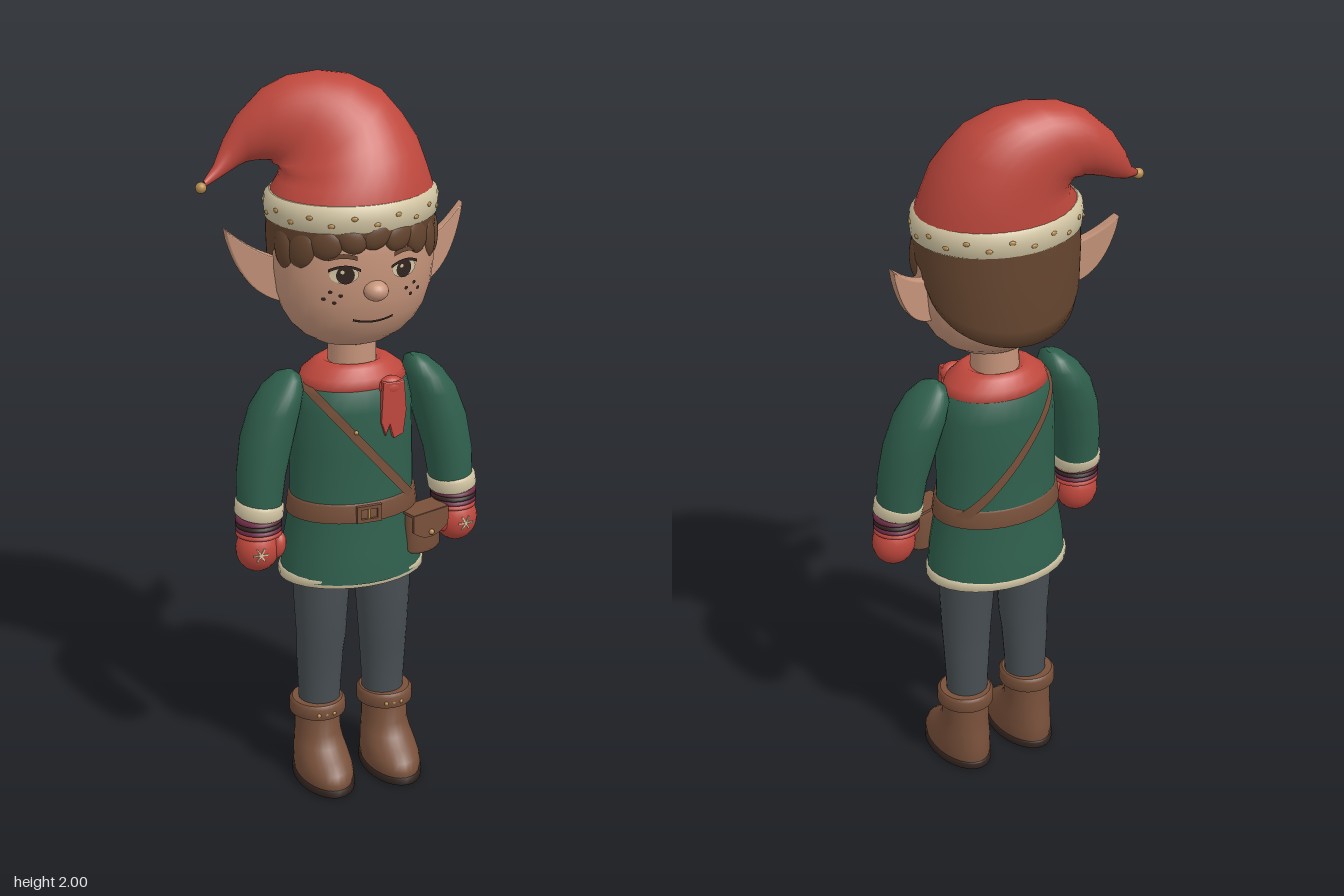
import * as THREE from 'three';

const mat = (name, color, side = THREE.FrontSide) => {
  const m = new THREE.MeshStandardMaterial({ color, side });
  m.name = name;
  return m;
};

// Linear lookup in a [y, radius] profile
const lookup = (p, y) => {
  for (let i = 1; i < p.length; i++) {
    if (y <= p[i][0]) {
      const t = (y - p[i - 1][0]) / (p[i][0] - p[i - 1][0]);
      return p[i - 1][1] + t * (p[i][1] - p[i - 1][1]);
    }
  }
  return p[p.length - 1][1];
};

// Skin over elliptical rings [x, y, z, rx, rz, tilt in degrees], listed from bottom to top
function loft(rings, seg = 28) {
  const pos = [], idx = [], n = rings.length;
  const addRing = ([x, y, z, rx, rz, tilt = 0]) => {
    const t = tilt * Math.PI / 180;
    for (let j = 0; j < seg; j++) {
      const a = j / seg * Math.PI * 2, u = rx * Math.cos(a);
      pos.push(x + u * Math.cos(t), y + u * Math.sin(t), z + rz * Math.sin(a));
    }
  };
  rings.forEach(addRing);
  for (let i = 0; i < n - 1; i++) for (let j = 0; j < seg; j++) {
    const a = i * seg + j, b = i * seg + (j + 1) % seg;
    idx.push(a, a + seg, b, b, a + seg, b + seg);
  }
  [rings[0], rings[n - 1]].forEach((r, top) => {
    const s = pos.length / 3;
    addRing(r);
    pos.push(r[0], r[1], r[2]);
    for (let j = 0; j < seg; j++) {
      const a = s + j, b = s + (j + 1) % seg;
      idx.push(s + seg, top ? b : a, top ? a : b);
    }
  });
  const g = new THREE.BufferGeometry();
  g.setAttribute('position', new THREE.Float32BufferAttribute(pos, 3));
  g.setIndex(idx);
  g.computeVertexNormals();
  return g;
}

export function createModel() {
  const D = THREE.DoubleSide;
  const red = mat('red wool', 0xbf483d), green = mat('green cloth', 0x2f5f4d), skin = mat('skin', 0xc6947a);
  const hair = mat('brown hair', 0x65452f, D), leather = mat('leather', 0x78503a, D), grey = mat('grey leggings', 0x474e52);
  const cream = mat('cream trim', 0xd2c5a3, D), gold = mat('brass', 0xb3894c), dark = mat('dark brown', 0x32241f, D);
  const purple = mat('plum knit', 0x6b2a45);

  const model = new THREE.Group();
  const body = new THREE.Group();
  body.name = 'elf';
  body.position.x = 0.022;
  model.add(body);
  const add = (name, geo, m, x = 0, y = 0, z = 0, parent = body) => {
    const mesh = new THREE.Mesh(geo, m);
    mesh.name = name;
    mesh.position.set(x, y, z);
    parent.add(mesh);
    return mesh;
  };
  const ball = (name, m, x, y, z, rx, ry = rx, rz = rx) => {
    const b = add(name, new THREE.SphereGeometry(1, 20, 14), m, x, y, z);
    b.scale.set(rx, ry, rz);
    return b;
  };

  // Tunic with trimmed hem
  const TZ = 0.74;
  const torso = [[0.635, 0.2], [0.72, 0.193], [0.84, 0.172], [1.0, 0.17], [1.12, 0.166], [1.18, 0.152], [1.22, 0.11], [1.24, 0.05]];
  add('tunic', loft(torso.map(([y, r]) => [0, y, -0.006, r, r * TZ])), green);
  add('hemTrim', loft([[0, 0.622, -0.008, 0.196, 0.138], [0, 0.624, -0.008, 0.205, 0.146], [0, 0.645, -0.008, 0.206, 0.147], [0, 0.652, -0.008, 0.198, 0.14]]), cream);

  // Belt and buckle
  add('belt', loft([[0, 0.81, -0.005, 0.175, 0.129], [0, 0.813, -0.005, 0.184, 0.136], [0, 0.86, -0.005, 0.178, 0.132], [0, 0.865, -0.005, 0.17, 0.126]]), leather);
  const buckle = new THREE.Shape([[-0.035, -0.024], [0.035, -0.024], [0.035, 0.024], [-0.035, 0.024]].map(p => new THREE.Vector2(...p)));
  buckle.holes.push(new THREE.Path([[-0.024, -0.014], [-0.024, 0.014], [0.024, 0.014], [0.024, -0.014]].map(p => new THREE.Vector2(...p))));
  add('buckle', new THREE.ExtrudeGeometry(buckle, { depth: 0.01, bevelEnabled: false }), leather, 0, 0.838, 0.126);
  add('bucklePin', new THREE.BoxGeometry(0.006, 0.034, 0.006), gold, 0, 0.838, 0.132);

  // Diagonal shoulder strap, front and back, laid over the tunic
  for (const s of [1, -1]) {
    const g = new THREE.PlaneGeometry(1, 0.024, 28, 2), p = g.attributes.position;
    for (let i = 0; i < p.count; i++) {
      const t = p.getX(i) + 0.5, w = p.getY(i);
      const x = -0.15 + 0.3 * t + w * 0.76, y = 1.195 - 0.355 * t + w * 0.65;
      const r = lookup(torso, y) + 0.003;
      p.setXYZ(i, x, y, s * (TZ * Math.sqrt(Math.max(0, r * r - x * x)) + 0.006) - 0.006);
    }
    g.computeVertexNormals();
    add(s > 0 ? 'frontStrap' : 'backStrap', g, leather);
  }
  ball('strapStud', gold, -0.035, 1.075, 0.126, 0.006);

  // Hip bag
  const bag = new THREE.Group();
  bag.name = 'bag';
  bag.position.set(0.172, 0.75, 0.082);
  bag.rotation.y = 0.3;
  body.add(bag);
  add('bagBody', loft([[0, -0.066, 0, 0.045, 0.026], [0, -0.055, 0, 0.058, 0.035], [0, 0.03, 0, 0.058, 0.035], [0, 0.055, 0, 0.054, 0.028]], 12), leather, 0, 0, 0, bag);
  const flap = new THREE.Shape().moveTo(-0.06, 0.06).lineTo(-0.06, 0.01).quadraticCurveTo(0, -0.04, 0.06, 0.01).lineTo(0.06, 0.06);
  add('bagFlap', new THREE.ExtrudeGeometry(flap, { depth: 0.008, bevelEnabled: false }), leather, 0, 0, 0.033, bag);
  add('bagTop', new THREE.BoxGeometry(0.12, 0.008, 0.07), leather, 0, 0.057, 0.004, bag);
  add('bagButton', new THREE.SphereGeometry(0.008, 10, 8), gold, 0, 0, 0.043, bag);

  // Neck and scarf
  add('neck', new THREE.CylinderGeometry(0.063, 0.066, 0.14, 24), skin, 0, 1.27, -0.002);
  add('scarf', loft([[0, 1.172, -0.004, 0.138, 0.1], [0, 1.185, -0.004, 0.149, 0.113], [0, 1.21, -0.004, 0.14, 0.108], [0, 1.235, -0.004, 0.108, 0.088], [0, 1.246, -0.004, 0.085, 0.074], [0, 1.236, -0.004, 0.064, 0.062]]), red);
  const tail = new THREE.Shape([[0.045, 1.2], [0.04, 1.09], [0.05, 1.055], [0.062, 1.085], [0.075, 1.045], [0.098, 1.055], [0.106, 1.12], [0.1, 1.2]].map(p => new THREE.Vector2(...p)));
  add('scarfTail', new THREE.ExtrudeGeometry(tail, { depth: 0.014, bevelSize: 0.003, bevelThickness: 0.004, bevelSegments: 2 }), red, 0, 0, 0.104);
  ball('scarfKnot', red, 0.072, 1.185, 0.1, 0.036, 0.028, 0.024);

  // Head, with a helper that lays thin pieces onto the face
  const HZ = 0.77;
  const head = [[1.287, 0.02], [1.292, 0.06], [1.305, 0.1], [1.33, 0.14], [1.36, 0.17], [1.4, 0.194], [1.45, 0.21], [1.51, 0.217], [1.58, 0.217], [1.64, 0.207], [1.69, 0.17]];
  add('head', loft(head.map(([y, r]) => [0, y, 0.004, r, r * HZ]), 36), skin);
  const decal = (name, geo, m, x, y, lift, bend = 0) => {
    const p = geo.attributes.position;
    for (let i = 0; i < p.count; i++) {
      const px = p.getX(i) + x, py = p.getY(i) + y + bend * p.getX(i) ** 2;
      const r = lookup(head, py);
      p.setXYZ(i, px, py, 0.004 + HZ * Math.sqrt(Math.max(0, r * r - px * px)) + lift);
    }
    geo.computeVertexNormals();
    add(name, geo, m);
  };
  const oval = (rx, ry) => new THREE.CircleGeometry(1, 20).scale(rx, ry, 1);
  ball('nose', skin, 0, 1.484, 0.173, 0.033, 0.027, 0.032);
  decal('mouth', new THREE.PlaneGeometry(0.11, 0.007, 12, 1), dark, 0, 1.394, 0.003, 3);

  for (const s of [1, -1]) {
    const side = s > 0 ? 'left' : 'right';
    decal(side + 'EyeWhite', oval(0.036, 0.023), cream, s * 0.082, 1.532, 0.003);
    decal(side + 'Iris', oval(0.023, 0.024), dark, s * 0.08, 1.532, 0.005);
    decal(side + 'EyeGlint', oval(0.005, 0.005), cream, s * 0.08 - 0.008, 1.541, 0.007);
    decal(side + 'Lashes', new THREE.PlaneGeometry(0.08, 0.008, 10, 1), dark, s * 0.082, 1.555, 0.006, -7);
    decal(side + 'Brow', new THREE.PlaneGeometry(0.07, 0.012, 10, 1), hair, s * 0.085, 1.583, 0.005, -6);
    for (const [x, y] of [[0.09, 1.475], [0.115, 1.485], [0.105, 1.455], [0.13, 1.465]])
      decal(side + 'Freckle', oval(0.0055, 0.005), dark, s * x, y, 0.003);

    // Pointed ear swept backwards
    const ear = new THREE.Shape().moveTo(s * 0.195, 1.535).quadraticCurveTo(s * 0.265, 1.55, s * 0.328, 1.612)
      .quadraticCurveTo(s * 0.305, 1.5, s * 0.255, 1.455).quadraticCurveTo(s * 0.225, 1.43, s * 0.195, 1.425);
    const eg = new THREE.ExtrudeGeometry(ear, { depth: 0.016, bevelSize: 0.004, bevelThickness: 0.007, bevelSegments: 3, curveSegments: 8 });
    const p = eg.attributes.position;
    for (let i = 0; i < p.count; i++) p.setZ(i, p.getZ(i) - 0.018 - 0.4 * (Math.abs(p.getX(i)) - 0.2));
    eg.computeVertexNormals();
    add(side + 'Ear', eg, skin);

    // Sleeve, cuff, striped knit band and mitten
    const arm = [[0.275, 0.87, 0.03, 0.06, 0.068], [0.268, 0.95, 0.025, 0.066, 0.072], [0.247, 1.05, 0.015, 0.072, 0.077], [0.222, 1.13, 0.008, 0.068, 0.08],
      [0.2, 1.18, 0.006, 0.055, 0.072], [0.184, 1.213, 0.005, 0.034, 0.048], [0.176, 1.226, 0.005, 0.01, 0.016]];
    add(side + 'Sleeve', loft(arm.map(([x, ...r]) => [s * x, ...r])), green);
    add(side + 'Cuff', loft([[s * 0.279, 0.838, 0.036, 0.06, 0.062, s * 6], [s * 0.279, 0.845, 0.036, 0.066, 0.07, s * 6], [s * 0.276, 0.872, 0.032, 0.066, 0.073, s * 6], [s * 0.275, 0.88, 0.032, 0.058, 0.066, s * 6]]), cream);
    [purple, dark, purple, red].forEach((m, i) => {
      const y = 0.832 - i * 0.013, c = [s * 0.281, 0.04];
      add(side + 'KnitBand', loft([[c[0], y - 0.007, c[1], 0.057, 0.056], [c[0], y - 0.004, c[1], 0.063, 0.062], [c[0], y + 0.004, c[1], 0.063, 0.062], [c[0], y + 0.007, c[1], 0.057, 0.056]]), m);
    });
    ball(side + 'Mitten', red, s * 0.287, 0.748, 0.046, 0.06, 0.066, 0.055);
    ball(side + 'Thumb', red, s * 0.236, 0.755, 0.064, 0.022, 0.038, 0.025).rotation.z = s * 0.2;
    for (let i = 0; i < 3; i++)
      add(side + 'Snowflake', new THREE.BoxGeometry(0.042, 0.004, 0.006), cream, s * 0.295, 0.748, 0.099).rotation.z = i * Math.PI / 3;

    // Legging and boot
    const bx = s * 0.1;
    add(side + 'Leg', loft([[s * 0.094, 0.18, -0.006, 0.056, 0.054], [s * 0.094, 0.28, -0.006, 0.06, 0.057], [s * 0.093, 0.38, -0.004, 0.066, 0.062], [s * 0.091, 0.43, 0.001, 0.069, 0.067], [s * 0.09, 0.55, -0.001, 0.076, 0.076], [s * 0.088, 0.66, -0.002, 0.08, 0.08]]), grey);
    // Boot rings: height, heel z, toe z, half width
    const boot = [[0.02, -0.09, 0.17, 0.074], [0.04, -0.092, 0.174, 0.077], [0.062, -0.09, 0.16, 0.075], [0.085, -0.087, 0.128, 0.072], [0.11, -0.083, 0.092, 0.067], [0.14, -0.079, 0.067, 0.063], [0.205, -0.076, 0.058, 0.063]];
    const bootRing = ([y, a, b, w]) => [bx, y, (a + b) / 2, w, (b - a) / 2];
    add(side + 'Boot', loft(boot.map(bootRing)), leather);
    add(side + 'Sole', loft([[0, -0.09, 0.17, 0.073], [0.004, -0.095, 0.177, 0.079], [0.02, -0.095, 0.177, 0.079], [0.024, -0.09, 0.17, 0.073]].map(bootRing)), dark);
    add(side + 'BootCuff', loft([[0.192, -0.078, 0.065, 0.068], [0.197, -0.087, 0.075, 0.078], [0.228, -0.087, 0.075, 0.078], [0.236, -0.08, 0.066, 0.07]].map(bootRing)), leather);
    for (const x of [-0.022, 0, 0.022]) ball(side + 'BootStud', gold, bx + x, 0.212, 0.07, 0.006);
  }

  // Hair shell: short in front, long at the nape, turned inward at its lower edge
  const hg = new THREE.PlaneGeometry(1, 1, 64, 4), hp = hg.attributes.position;
  const rows = [[0, 0.222, 0.19], [0.4, 0.226, 0.193], [0.85, 0.222, 0.192], [1, 0.212, 0.185], [1, 0.15, 0.12]];
  for (let i = 0; i < hp.count; i++) {
    const a = (hp.getX(i) + 0.5) * Math.PI * 2, [t, rx, rz] = rows[Math.round((0.5 - hp.getY(i)) * 4)];
    const f = Math.cos(a), front = Math.max(0, f), back = Math.max(0, -f);
    const low = 1.55 + 0.07 * front - 0.17 * Math.pow(back, 0.6);
    hp.setXYZ(i, rx * Math.sin(a), 1.69 + (low - 1.69) * t, -0.012 + rz * f);
  }
  hg.computeVertexNormals();
  add('hair', hg, hair);

  // Fringe locks: angle, height, width, length, lean
  for (const [a, y, w, h, lean] of [[-1.25, 1.585, 0.036, 0.06, 0.05], [-0.95, 1.59, 0.04, 0.055, -0.3], [-0.62, 1.612, 0.045, 0.045, -0.6], [-0.3, 1.625, 0.045, 0.036, -0.7],
    [0.02, 1.632, 0.045, 0.036, 0.7], [0.32, 1.622, 0.045, 0.04, 0.6], [0.62, 1.607, 0.042, 0.052, 0.5], [0.95, 1.585, 0.036, 0.062, 0.2], [1.25, 1.58, 0.034, 0.062, 0]]) {
    const lock = ball('fringeLock', hair, 0.212 * Math.sin(a), y, -0.012 + 0.178 * Math.cos(a), w, h, 0.02);
    lock.rotation.set(0, a, lean, 'YXZ');
  }

  // Bent hat, its trim and bell
  add('hat', loft([[0.022, 1.66, -0.01, 0.222, 0.185], [0.022, 1.7, -0.012, 0.222, 0.184], [0.03, 1.75, -0.022, 0.197, 0.175, 3], [0.023, 1.795, -0.031, 0.185, 0.166, 10], [0.002, 1.832, -0.046, 0.176, 0.152, 19],
    [-0.02, 1.86, -0.06, 0.167, 0.137, 31], [-0.062, 1.88, -0.078, 0.152, 0.118, 45], [-0.1, 1.889, -0.093, 0.13, 0.101, 58], [-0.148, 1.884, -0.107, 0.114, 0.088, 69], [-0.19, 1.868, -0.117, 0.095, 0.075, 79],
    [-0.236, 1.831, -0.126, 0.062, 0.053, 97], [-0.265, 1.797, -0.127, 0.04, 0.037, 116], [-0.308, 1.756, -0.11, 0.018, 0.018, 122], [-0.35, 1.735, -0.084, 0.008, 0.008, 115]], 36), red, 0, 0, 0, model);
  add('hatTrim', loft([[0, 1.635, -0.012, 0.215, 0.183], [0, 1.645, -0.012, 0.229, 0.194], [0, 1.675, -0.012, 0.232, 0.196], [0, 1.7, -0.012, 0.229, 0.194], [0, 1.712, -0.012, 0.216, 0.182]], 40), cream);
  for (let i = 0; i < 24; i++) {
    const a = i / 24 * Math.PI * 2;
    const dot = ball('trimStitch', gold, 0.231 * Math.sin(a), i % 2 ? 1.683 : 1.664, -0.012 + 0.195 * Math.cos(a), 0.009, 0.006, 0.004);
    dot.rotation.y = a;
  }
  add('bell', new THREE.SphereGeometry(0.015, 16, 12), gold, -0.363, 1.727, -0.076, model);
  return model;
}
